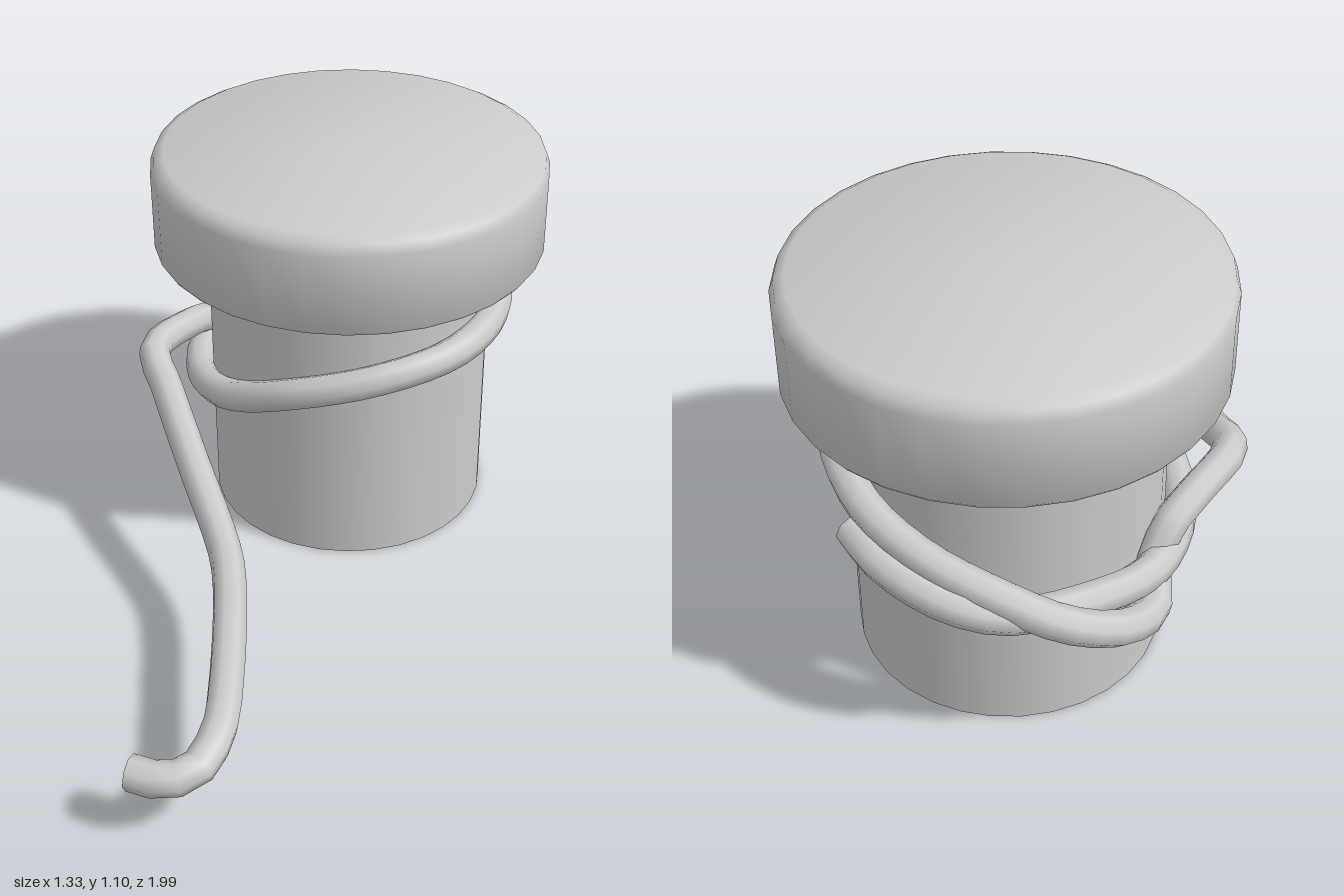
import * as THREE from 'three';
import { toCreasedNormals } from 'three/addons/utils/BufferGeometryUtils.js';

const AXIS_X = 0.118, AXIS_Z = -0.41, ROPE_R = 0.045;

export function createModel() {
  const group = new THREE.Group();
  group.name = 'mooringBollard';
  const material = new THREE.MeshStandardMaterial({ color: 0xcccccc, side: THREE.DoubleSide });

  const add = (name, geometry, x = 0, y = 0, z = 0) => {
    const mesh = new THREE.Mesh(geometry, material);
    mesh.name = name;
    mesh.position.set(x, y, z);
    group.add(mesh);
    return mesh;
  };

  // Post: open tube reaching up inside the hollow head
  add('post', new THREE.CylinderGeometry(0.4, 0.4, 1, 32, 1, true), AXIS_X, 0.5, AXIS_Z);

  // Head: wide hollow lid, open below, with a softened upper rim
  const profile = [
    [0.541, 0.825], [0.548, 0.835], [0.548, 1.055],
    [0.537, 1.085], [0.51, 1.1], [0, 1.1],
  ].map(([r, y]) => new THREE.Vector2(r, y));
  const head = toCreasedNormals(new THREE.LatheGeometry(profile, 32), 0.85);
  add('head', head, AXIS_X, 0, AXIS_Z);

  // Rope turns around the post: [angle from front towards +x, radius, height]
  const turns = [
    [125, 0.475, 0.55], [140, 0.5, 0.535], [160, 0.525, 0.505], [175, 0.52, 0.475],
    [198, 0.46, 0.425], [225, 0.455, 0.4], [255, 0.44, 0.4], [280, 0.43, 0.42],
    [300, 0.425, 0.46], [330, 0.425, 0.55], [360, 0.43, 0.61], [390, 0.435, 0.638],
    [420, 0.425, 0.645], [450, 0.425, 0.635], [485, 0.44, 0.61], [510, 0.465, 0.57],
    [533, 0.505, 0.52], [550, 0.545, 0.455], [565, 0.545, 0.39], [580, 0.5, 0.345],
    [591, 0.43, 0.385], [600, 0.44, 0.46], [613, 0.48, 0.49],
  ].map(([deg, r, y]) => {
    const a = THREE.MathUtils.degToRad(deg);
    return new THREE.Vector3(AXIS_X + r * Math.sin(a), y, AXIS_Z + r * Math.cos(a));
  });

  // Loose tail that runs forward and hooks outwards at its end
  const tail = [
    [-0.45, 0.5, -0.41], [-0.43, 0.46, -0.27], [-0.385, 0.375, 0], [-0.343, 0.3, 0.22],
    [-0.335, 0.275, 0.33], [-0.385, 0.245, 0.7], [-0.43, 0.22, 0.87],
    [-0.495, 0.195, 0.95], [-0.57, 0.185, 0.957], [-0.642, 0.185, 0.92],
  ].map((p) => new THREE.Vector3(...p));

  const path = new THREE.CatmullRomCurve3([...turns, ...tail]);
  add('rope', new THREE.TubeGeometry(path, 100, ROPE_R, 8));

  // Flat discs closing both rope ends
  for (const [t, dir] of [[0, -1], [1, 1]]) {
    const p = path.getPointAt(t);
    const end = add('ropeEnd', new THREE.CircleGeometry(ROPE_R, 8), p.x, p.y, p.z);
    end.lookAt(p.clone().addScaledVector(path.getTangentAt(t), dir));
  }

  return group;
}
